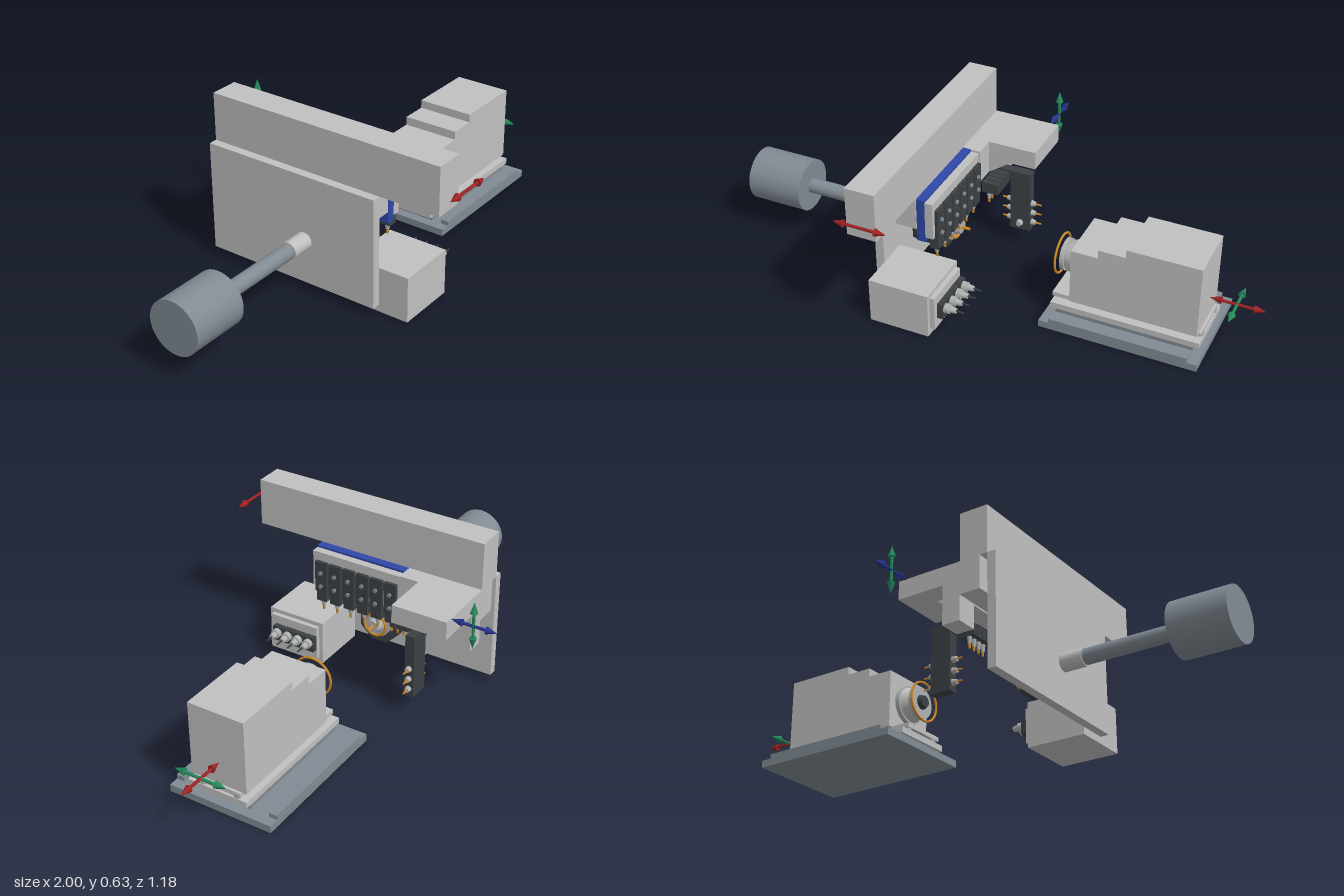
import * as THREE from 'three';

const mat = (name, color) => {
  const m = new THREE.MeshStandardMaterial({ color });
  m.name = name;
  return m;
};

export function createModel() {
  const root = new THREE.Group();
  root.name = 'machiningUnits';
  const M = {
    grey: mat('light grey', 0xc0c0c0),
    steel: mat('blue steel', 0x818b93),
    dark: mat('charcoal', 0x3c4144),
    blue: mat('blue panel', 0x2f48a8),
    silver: mat('silver', 0xb0b2b2),
    gold: mat('gold', 0xd08a28),
    red: mat('arrow red', 0xa02222),
    green: mat('arrow green', 0x248a5a),
    navy: mat('arrow blue', 0x26348f),
  };
  const add = (name, geo, m, parent = root) => {
    const mesh = new THREE.Mesh(geo, m);
    mesh.name = name;
    parent.add(mesh);
    return mesh;
  };
  // Box from its limits on each axis
  const box = (name, m, x0, x1, y0, y1, z0, z1) => {
    const b = add(name, new THREE.BoxGeometry(x1 - x0, y1 - y0, z1 - z0), m);
    b.position.set((x0 + x1) / 2, (y0 + y1) / 2, (z0 + z1) / 2);
    return b;
  };
  // Turned piece along x, y or z, running from a to b; p holds the other two coordinates in order
  const rod = (name, m, axis, a, b, p, r0, r1 = r0, n = 24) => {
    const g = new THREE.CylinderGeometry(r1, r0, b - a, n);
    if (axis === 'x') g.rotateZ(-Math.PI / 2);
    if (axis === 'z') g.rotateX(Math.PI / 2);
    const c = (a + b) / 2;
    const mesh = add(name, g, m);
    if (axis === 'x') mesh.position.set(c, p[0], p[1]);
    if (axis === 'y') mesh.position.set(p[0], c, p[1]);
    if (axis === 'z') mesh.position.set(p[0], p[1], c);
    return mesh;
  };
  // Profile in x and y, given a depth in z
  const extrude = (name, m, pts, z0, z1) => {
    const shape = new THREE.Shape(pts.map(([x, y]) => new THREE.Vector2(x, y)));
    const g = new THREE.ExtrudeGeometry(shape, { depth: z1 - z0, bevelEnabled: false });
    g.translate(0, 0, z0);
    return add(name, g, m);
  };
  // Two-headed arrow along an axis
  const arrow = (name, m, axis, a, b, p, capStart = true) => {
    const h = 0.042;
    rod(name + 'Shaft', m, axis, a + h, b - h, p, 0.0055, 0.0055, 10);
    rod(name + 'HeadEnd', m, axis, b - h, b, p, 0.014, 0, 12);
    if (capStart) rod(name + 'HeadStart', m, axis, a, a + h, p, 0, 0.014, 12);
  };

  // Frame: back plate, beam, mount and arm
  box('backPlate', M.grey, -0.343, -0.31, 0.03, 0.45, -0.413, 0.293);
  box('beam', M.grey, -0.31, -0.2, 0.45, 0.632, -0.413, 0.525);
  box('beamMount', M.grey, -0.28, -0.2, 0.326, 0.45, -0.413, 0.25);
  box('armRoot', M.grey, -0.2, -0.13, 0.32, 0.45, -0.413, -0.12);
  box('armLeg', M.grey, -0.2, -0.13, 0.232, 0.33, -0.413, -0.33);
  box('arm', M.grey, -0.13, 0.055, 0.38, 0.45, -0.413, -0.197);
  extrude('armBrace', M.grey, [[-0.13, 0.32], [-0.045, 0.38], [-0.13, 0.38]], -0.33, -0.197);

  // Drive motor with shaft behind the plate
  rod('driveMotor', M.steel, 'x', -1, -0.782, [0.197, 0], 0.1, 0.1, 48);
  rod('driveShaft', M.steel, 'x', -0.782, -0.43, [0.197, 0], 0.029);
  rod('shaftCollar', M.grey, 'x', -0.43, -0.343, [0.197, 0], 0.033);

  // Vertical tool bank
  box('bankPanel', M.blue, -0.197, -0.165, 0.28, 0.452, -0.12, 0.25);
  box('bankRail', M.grey, -0.165, -0.135, 0.3, 0.444, -0.118, 0.25);
  for (let i = 0; i < 6; i++) {
    const z = 0.209 - i * 0.0588;
    box('bankHolder', M.dark, -0.16, -0.122, 0.285, 0.41, z - 0.025, z + 0.025);
    box('bankHolderNose', M.dark, -0.158, -0.125, 0.245, 0.285, z - 0.021, z + 0.021);
    for (const y of [0.31, 0.365]) rod('bankScrew', M.steel, 'x', -0.122, -0.115, [y, z], 0.008, 0.008, 10);
    rod('bankChuck', M.silver, 'y', 0.222, 0.246, [-0.142, z], 0.007, 0.011, 12);
    rod('bankTip', M.gold, 'y', 0.203, 0.223, [-0.142, z], 0.004, 0.006, 10);
  }

  // Main spindle on the back plate
  const spindle = rod('spindleMotor', M.dark, 'x', -0.31, -0.195, [0.182, 0.0], 0.085, 0.085, 8);
  spindle.rotation.x = Math.PI / 8;
  spindle.material.name = 'charcoal';
  rod('spindleFlange', M.silver, 'x', -0.195, -0.175, [0.19, 0.0], 0.055);
  rod('spindleNose', M.silver, 'x', -0.175, -0.145, [0.19, 0.0], 0.034, 0.024);
  rod('spindleTip', M.gold, 'x', -0.145, -0.115, [0.19, 0.0], 0.007, 0.005, 12);
  const ring = (name, x, y, r, t) => {
    const g = new THREE.TorusGeometry(r, t, 8, 40).rotateY(Math.PI / 2);
    add(name, g, M.gold).position.set(x, y, 0);
  };
  ring('spindleRing', -0.165, 0.19, 0.045, 0.005);

  // Drill head below the arm: row of upright drills and a column of sideways ones
  box('drillCarrier', M.dark, -0.12, 0.02, 0.285, 0.321, -0.27, -0.235);
  for (let i = 0; i < 4; i++) {
    const z = -0.134 - i * 0.0265;
    box('drillBlock', M.dark, -0.125, -0.06, 0.278, 0.321, z - 0.011, z + 0.011);
    rod('drillChuck', M.silver, 'y', 0.25, 0.279, [-0.1, z], 0.006, 0.009, 12);
    rod('drillTip', M.gold, 'y', 0.234, 0.251, [-0.1, z], 0.004, 0.005, 8);
  }
  box('drillColumn', M.dark, -0.06, 0.02, 0.07, 0.321, -0.272, -0.235);
  for (const y of [0.187, 0.145, 0.103]) {
    rod('columnChuck', M.silver, 'x', 0.02, 0.036, [y, -0.253], 0.012, 0.009, 12);
    rod('columnDrill', M.gold, 'x', 0.036, 0.06, [y, -0.253], 0.004, 0.003, 8);
    rod('columnChuckRear', M.silver, 'x', -0.078, -0.06, [y, -0.253], 0.009, 0.012, 12);
    rod('columnDrillRear', M.gold, 'x', -0.098, -0.078, [y, -0.253], 0.003, 0.004, 8);
  }
  rod('columnSideChuck', M.silver, 'z', -0.235, -0.22, [-0.02, 0.1], 0.014, 0.01, 14);

  // Tool box with four horizontal drills
  box('toolBox', M.grey, -0.31, -0.08, 0.003, 0.177, 0.177, 0.41);
  box('toolBoxFace', M.grey, -0.08, -0.062, 0.028, 0.161, 0.192, 0.394);
  for (let i = 0; i < 4; i++) {
    const z = 0.353 - i * 0.0463;
    box('boxDrillBase', M.dark, -0.062, -0.04, 0.067, 0.127, z - 0.021, z + 0.021);
    rod('boxDrillCollar', M.silver, 'x', -0.04, -0.02, [0.104, z], 0.018, 0.018, 16);
    rod('boxDrillChuck', M.silver, 'x', -0.02, 0.003, [0.104, z], 0.013, 0.01, 16);
    rod('boxDrillTip', M.dark, 'x', 0.003, 0.032, [0.104, z], 0.004, 0.003, 8);
  }

  // Sliding unit: base tray, rails, carriage and stepped housing
  box('slideBase', M.steel, 0.243, 0.828, 0, 0.027, -0.215, 0.19);
  for (const s of [-1, 1]) {
    const z = -0.012 + s * 0.187;
    box('baseEdgeRail', M.steel, 0.28, 0.79, 0.027, 0.044, z - 0.015, z + 0.015);
    box('guideRail', M.silver, 0.26, 0.81, 0.065, 0.086, s * 0.07 - 0.01, s * 0.07 + 0.01);
  }
  box('slideSpacer', M.steel, 0.28, 0.79, 0.027, 0.045, -0.11, 0.12);
  box('carriage', M.grey, 0.26, 0.812, 0.045, 0.068, -0.112, 0.125);
  box('housingSole', M.grey, 0.255, 0.808, 0.074, 0.09, -0.085, 0.095);
  extrude('steppedHousing', M.grey, [
    [0.328, 0.088], [0.798, 0.088], [0.798, 0.37], [0.528, 0.37], [0.528, 0.338],
    [0.428, 0.338], [0.428, 0.305], [0.328, 0.305],
  ], -0.103, 0.117);

  // Saw head on the housing
  rod('headFlange', M.silver, 'x', 0.31, 0.328, [0.198, 0], 0.072, 0.072, 32);
  rod('headBody', M.grey, 'x', 0.278, 0.31, [0.198, 0], 0.052, 0.066, 32);
  rod('headDisc', M.silver, 'x', 0.262, 0.278, [0.198, 0], 0.06, 0.06, 32);
  rod('headHub', M.dark, 'x', 0.246, 0.262, [0.198, 0], 0.022, 0.028, 20);
  ring('headRing', 0.252, 0.198, 0.074, 0.0045);

  // Motion arrows
  arrow('beamArrow', M.red, 'x', -0.33, -0.13, [0.532, 0.578]);
  arrow('armDepthArrow', M.navy, 'z', -0.587, -0.413, [0.022, 0.447]);
  arrow('armHeightArrow', M.green, 'y', 0.358, 0.54, [0.022, -0.497]);
  arrow('slideArrow', M.red, 'x', 0.8, 1.0, [0.178, 0.0]);
  arrow('slideCrossArrow', M.green, 'z', -0.1, 0.105, [0.897, 0.178]);

  return root;
}
